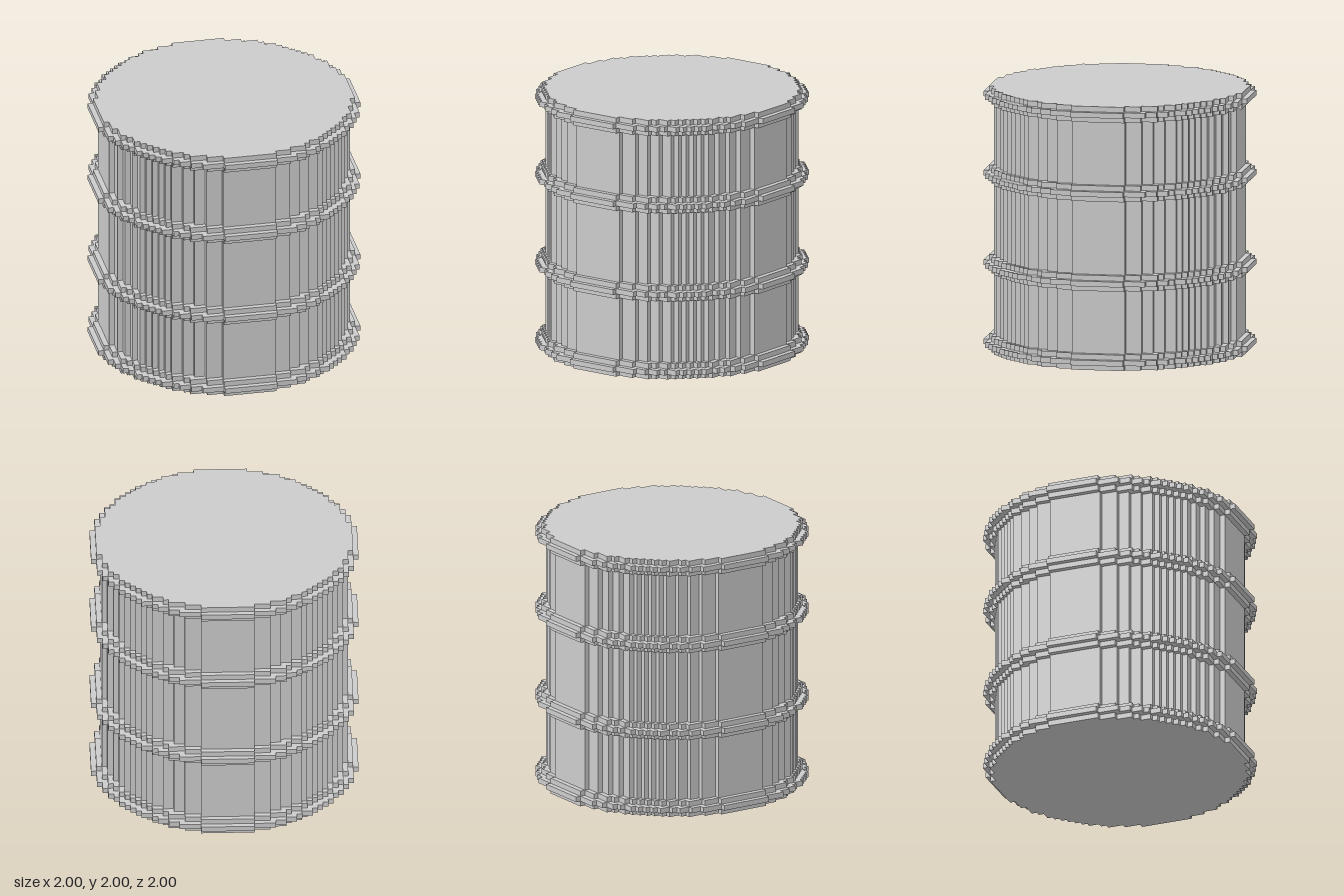
import * as THREE from 'three';

const CELL = 0.04; // edge of one block; the barrel is 50 blocks tall and wide

// Stair-stepped disc outline, radius in blocks: one quadrant turned four times.
function blockCircle(radius) {
  const halfWidth = (row) => Math.floor(Math.sqrt(radius ** 2 - (row + 0.5) ** 2) + 0.5);
  const quadrant = [];
  for (let row = 0; row < radius - 1; row++) {
    const here = halfWidth(row), next = halfWidth(row + 1);
    if (here > next) quadrant.push([here, row + 1], [next, row + 1]);
  }
  quadrant.push([halfWidth(radius - 1), radius]);

  const points = [];
  for (let turn = 0; turn < 4; turn++) {
    for (const [x, y] of quadrant) {
      const [px, py] = [[x, y], [-y, x], [-x, -y], [y, -x]][turn];
      points.push(new THREE.Vector2(px * CELL, py * CELL));
    }
  }
  return new THREE.Shape(points);
}

// Upright stair-stepped drum from y = bottom to y = top.
function drumGeometry(radius, bottom, top) {
  const geometry = new THREE.ExtrudeGeometry(blockCircle(radius), { depth: top - bottom, bevelEnabled: false });
  geometry.rotateX(-Math.PI / 2);
  geometry.translate(0, bottom, 0);
  return geometry;
}

export function createModel() {
  const material = new THREE.MeshStandardMaterial({ color: 0xcccccc, flatShading: true });
  const barrel = new THREE.Group();
  barrel.name = 'barrel';

  const add = (parent, name, geometry) => {
    const mesh = new THREE.Mesh(geometry, material);
    mesh.name = name;
    parent.add(mesh);
    return mesh;
  };

  // Body, ending inside the top and bottom hoops
  add(barrel, 'body', drumGeometry(23, CELL, 2 - CELL));

  // Four hoops, each a band with a thinner ridge around its middle
  const band = drumGeometry(24, 0, 3 * CELL);
  const ridge = drumGeometry(25, CELL, 2 * CELL);
  const hoops = { bottomHoop: 0, lowerHoop: 0.6, upperHoop: 1.28, topHoop: 1.88 };
  for (const [name, y] of Object.entries(hoops)) {
    const hoop = new THREE.Group();
    hoop.name = name;
    hoop.position.y = y;
    add(hoop, 'hoopBand', band);
    add(hoop, 'hoopRidge', ridge);
    barrel.add(hoop);
  }
  return barrel;
}
